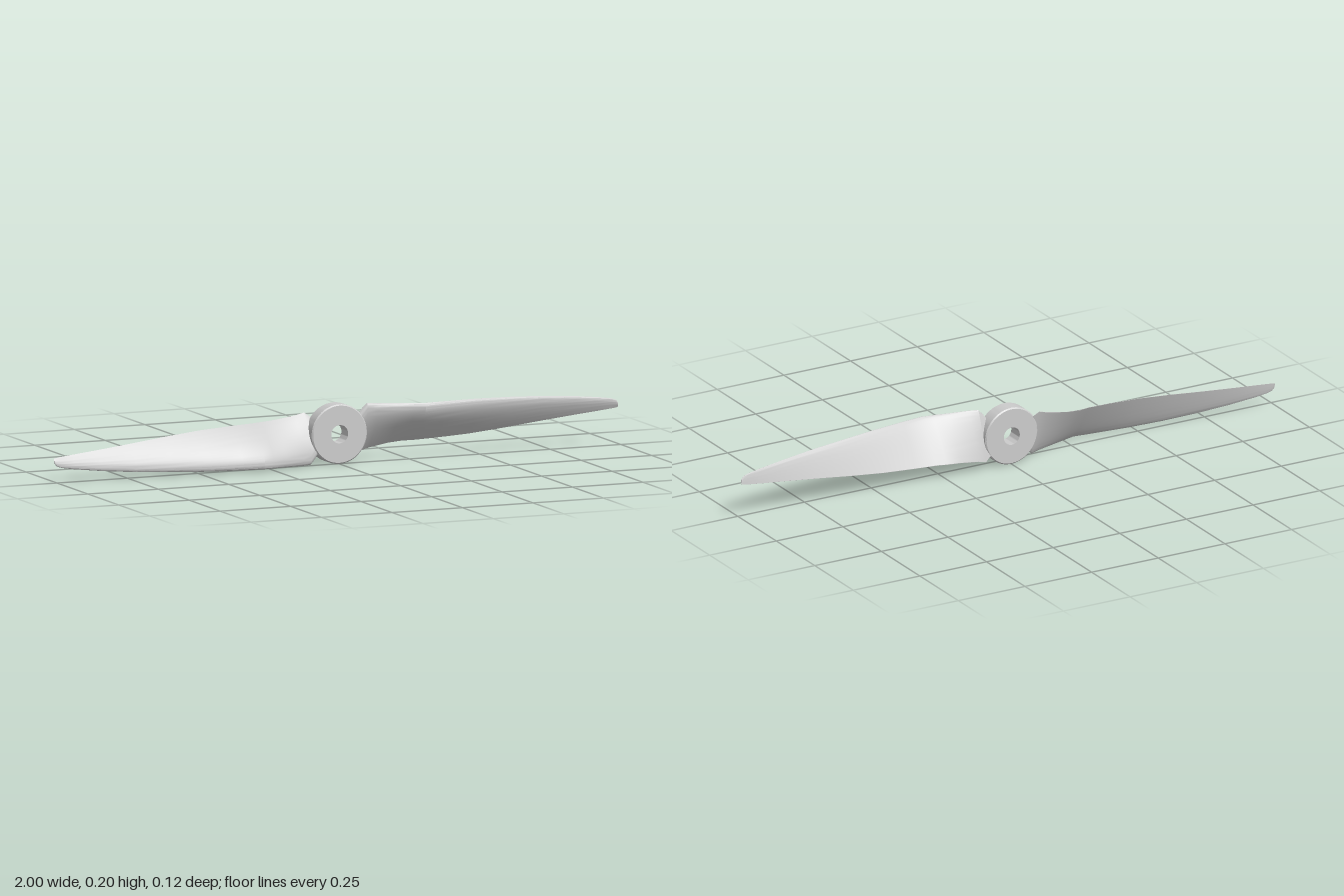
import * as THREE from 'three';
import { toCreasedNormals } from 'three/addons/utils/BufferGeometryUtils.js';

const MID = 0.098; // height of the hub axis

// Blade stations: x, leading y, leading z, trailing y, trailing z, thickness
const STATIONS = [
  [0.06, 0.145, -0.008, 0.055, -0.044, 0.022],
  [0.085, 0.178, -0.005, 0.04, -0.05, 0.025],
  [0.1, 0.194, -0.002, 0.029, -0.055, 0.027],
  [0.13, 0.193, 0.01, 0.037, -0.058, 0.028],
  [0.2, 0.191, 0.028, 0.048, -0.062, 0.03],
  [0.25, 0.19, 0.041, 0.052, -0.061, 0.03],
  [0.285, 0.189, 0.049, 0.053, -0.053, 0.03],
  [0.36, 0.189, 0.041, 0.056, -0.049, 0.028],
  [0.48, 0.188, 0.026, 0.063, -0.044, 0.024],
  [0.6, 0.184, 0.012, 0.075, -0.04, 0.02],
  [0.72, 0.178, 0.001, 0.089, -0.036, 0.016],
  [0.84, 0.168, -0.01, 0.102, -0.032, 0.012],
  [0.93, 0.158, -0.017, 0.111, -0.029, 0.009],
  [0.975, 0.151, -0.02, 0.116, -0.027, 0.006],
  [0.992, 0.145, -0.021, 0.118, -0.026, 0.005],
  [1.0, 0.135, -0.022, 0.12, -0.026, 0.003],
];

const HALF = 22;      // points along each face of the section
const N = HALF * 2;   // points around the section

// Rounded nose, thin tail; 1 at the fullest point
function fullness(s) {
  return 2 * (1.4845 * Math.sqrt(s) - 0.63 * s - 1.758 * s * s + 1.4215 * s ** 3 - 0.508 * s ** 4);
}

// Aerofoil loop: bulging front face down to the tail, flatter back face up again
function section([x, yL, zL, yT, zT, t], out) {
  const cy = yT - yL, cz = zT - zL, len = Math.hypot(cy, cz);
  for (let j = 0; j < N; j++) {
    const a = (j / N) * Math.PI * 2;
    const s = (1 - Math.cos(a)) / 2;
    const h = t * fullness(s) * (j <= HALF ? 0.75 : -0.2);
    out.push(x, yL + cy * s + (cz / len) * h - MID, zL + cz * s - (cy / len) * h);
  }
}

function bladeGeometry() {
  const pos = [], index = [];
  STATIONS.forEach((st) => section(st, pos));
  const last = STATIONS.length - 1;
  for (let i = 0; i < last; i++) {
    for (let j = 0; j < N; j++) {
      const k = (j + 1) % N;
      const a = i * N + j, b = i * N + k, c = a + N, d = b + N;
      index.push(a, b, c, b, d, c);
    }
  }
  // Root and tip caps
  for (let j = 1; j < N - 1; j++) {
    index.push(0, j + 1, j);
    index.push(last * N, last * N + j, last * N + j + 1);
  }
  const geo = new THREE.BufferGeometry();
  geo.setAttribute('position', new THREE.Float32BufferAttribute(pos, 3));
  geo.setIndex(index);
  return toCreasedNormals(geo, 0.32);
}

// Bored disc with small chamfers
function hubGeometry() {
  const r = 0.098, bore = 0.03, back = -0.048, front = 0.007, c = 0.004;
  const profile = [
    [bore, back], [r - c, back], [r, back + c], [r, front - c],
    [r - c, front], [bore, front], [bore, back],
  ].map(([px, py]) => new THREE.Vector2(px, py));
  const geo = new THREE.LatheGeometry(profile, 72);
  geo.rotateX(Math.PI / 2);
  return toCreasedNormals(geo, 0.5);
}

export function createModel() {
  const material = new THREE.MeshStandardMaterial({ color: 0xcccccc });
  const propeller = new THREE.Group();
  propeller.name = 'propeller';

  const hub = new THREE.Mesh(hubGeometry(), material);
  hub.name = 'hub';
  hub.position.y = MID;
  propeller.add(hub);

  // Two blades, half a turn apart
  const geo = bladeGeometry();
  ['leftBlade', 'rightBlade'].forEach((name, i) => {
    const blade = new THREE.Mesh(geo, material);
    blade.name = name;
    blade.position.y = MID;
    blade.rotation.z = i * Math.PI;
    propeller.add(blade);
  });
  return propeller;
}
